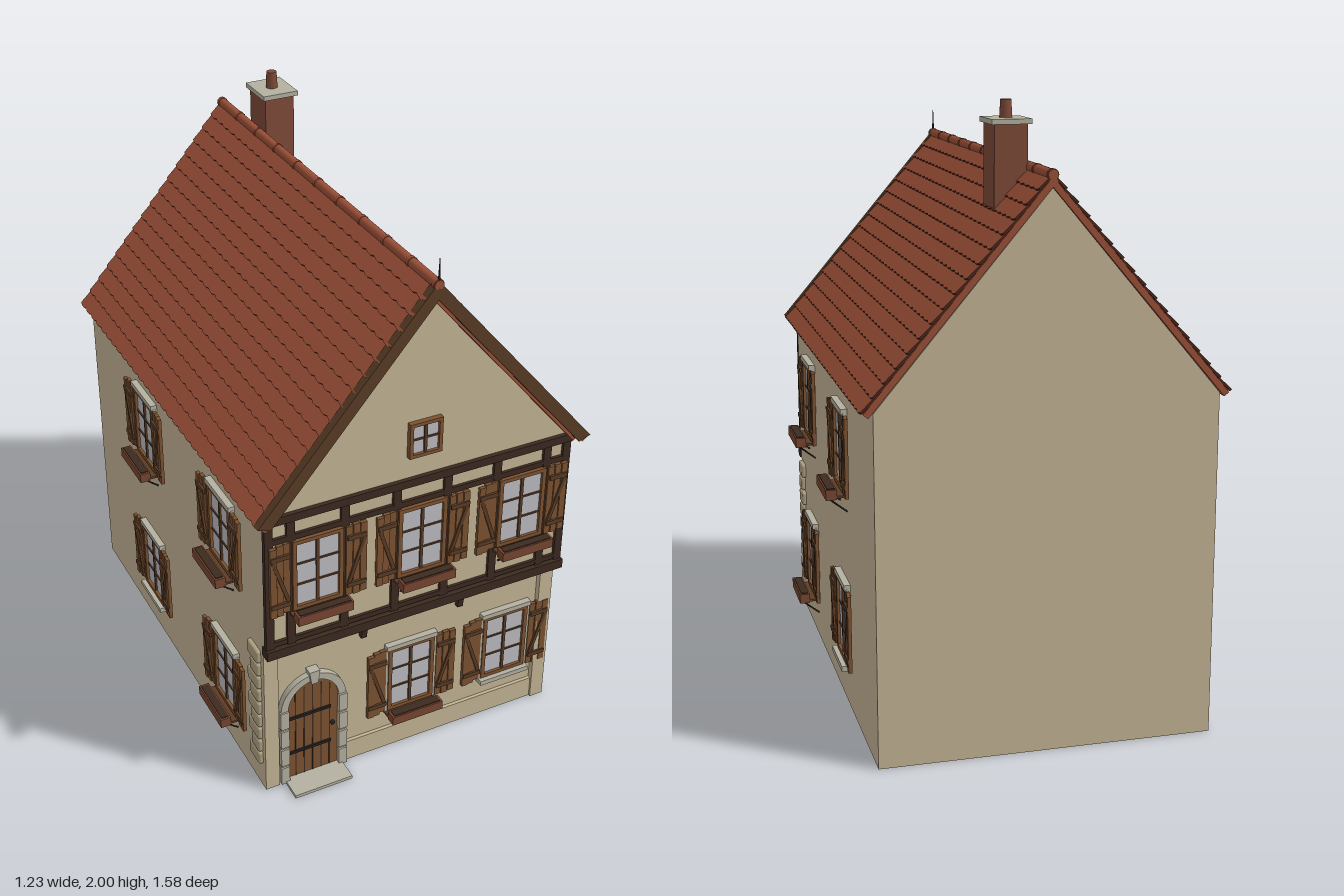
import * as THREE from 'three';
import { RoundedBoxGeometry } from 'three/addons/geometries/RoundedBoxGeometry.js';

const mats = {};
const mat = (c) => (mats[c] ??= new THREE.MeshStandardMaterial({ color: c }));
const C = {
  wall: 0xc4b495, timber: 0x3c2a20, wood: 0x7c5230, darkWood: 0x5a3c26, stone: 0xb4b0a0, quoin: 0xaea081,
  glass: 0xbcbcc2, tile: 0x9a4f37, tileEdge: 0x4a241a, planter: 0x774530, brick: 0x7d4a38, iron: 0x26221f, floor: 0x6b665c,
};

function add(parent, name, geo, color, x = 0, y = 0, z = 0) {
  const m = new THREE.Mesh(geo, Array.isArray(color) ? color.map(mat) : mat(color));
  m.name = name;
  m.position.set(x, y, z);
  parent.add(m);
  return m;
}
const box = (p, name, w, h, d, x, y, z, color) => add(p, name, new THREE.BoxGeometry(w, h, d), color, x, y, z);
const extrude = (shape, depth) => new THREE.ExtrudeGeometry(shape, { depth, bevelEnabled: false, curveSegments: 16 });
const polygon = (pts) => new THREE.Shape(pts.map(([x, y]) => new THREE.Vector2(x, y)));

// Box beam between two points of the xy plane
function beam(p, name, x1, y1, x2, y2, w, d, z, color) {
  const m = box(p, name, Math.hypot(x2 - x1, y2 - y1), w, d, (x1 + x2) / 2, (y1 + y2) / 2, z, color);
  m.rotation.z = Math.atan2(y2 - y1, x2 - x1);
  return m;
}

function group(parent, name, x = 0, y = 0, z = 0) {
  const g = new THREE.Group();
  g.name = name;
  g.position.set(x, y, z);
  parent.add(g);
  return g;
}

// Glazed casement facing +z, origin at its centre on the wall
function casement(g, w, h, rows, f) {
  box(g, 'glass', w, h, 0.008, 0, 0, 0.004, C.glass);
  for (const s of [-1, 1]) {
    box(g, 'frameSide', f, h + 2 * f, 0.018, s * (w + f) / 2, 0, 0.009, C.wood);
    box(g, 'frameRail', w, f, 0.018, 0, s * (h + f) / 2, 0.009, C.wood);
  }
  box(g, 'mullion', 0.01, h, 0.014, 0, 0, 0.007, C.darkWood);
  for (let i = 1; i < rows; i++) box(g, 'glazingBar', w, 0.006, 0.012, 0, -h / 2 + (h * i) / rows, 0.006, C.darkWood);
}

function shutterWindow(parent, x, y, z, ry, { planter, lintel }) {
  const g = group(parent, 'window', x, y, z);
  g.rotation.y = ry;
  casement(g, 0.145, 0.235, 3, 0.014);
  if (lintel) {
    box(g, 'lintel', 0.19, 0.018, 0.022, 0, 0.14, 0.011, C.stone);
    for (const s of [-1, 1]) box(g, 'stoneJamb', 0.01, 0.27, 0.014, s * 0.091, 0, 0.007, C.stone);
  }
  // Plank shutters with ledges and a diagonal brace
  for (const s of [-1, 1]) {
    const sh = group(g, 'shutter', s * 0.13, 0, 0);
    [-1, 0, 1].forEach((k) =>
      box(sh, 'plank', 0.022, 0.262 + 0.006 * ((k + 3) % 2), 0.012, k * 0.0235, 0.003 * k, 0.014 + 0.003 * k * s, C.wood));
    for (const t of [-1, 1]) box(sh, 'ledge', 0.066, 0.016, 0.008, 0, t * 0.09, 0.023, C.darkWood);
    beam(sh, 'brace', -s * 0.026, -0.08, s * 0.026, 0.08, 0.012, 0.007, 0.022, C.darkWood);
  }
  if (planter) {
    box(g, 'planterBox', 0.19, 0.034, 0.036, 0, -0.132, 0.056, C.planter);
    box(g, 'planterSoil', 0.175, 0.004, 0.026, 0, -0.114, 0.056, C.timber);
    box(g, 'planterShelf', 0.19, 0.008, 0.05, 0, -0.14, 0.025, C.darkWood);
    for (const s of [-1, 1]) {
      const b = add(g, 'planterBracket', new THREE.CylinderGeometry(0.003, 0.003, 0.085, 6), C.iron, s * 0.065, -0.173, 0.034);
      b.rotation.x = 0.9;
    }
  } else {
    box(g, 'sill', 0.19, 0.018, 0.034, 0, -0.14, 0.017, C.stone);
  }
}

function archShape(w, spring, r) {
  const s = new THREE.Shape();
  s.moveTo(-w, 0);
  s.lineTo(w, 0);
  s.lineTo(w, spring);
  s.absellipse(0, spring, w, r, 0, Math.PI, false);
  s.lineTo(-w, 0);
  return s;
}

function buildDoor(house) {
  const g = group(house, 'door', -0.365, 0, 0.68);
  add(g, 'doorLeaf', extrude(archShape(0.092, 0.31, 0.1), 0.012), C.wood);
  for (let i = -2; i <= 2; i++) box(g, 'plankGap', 0.004, 0.395 - Math.abs(i) * 0.014, 0.003, i * 0.031, 0.2 - Math.abs(i) * 0.007, 0.012, C.timber);
  for (const y of [0.12, 0.27]) box(g, 'hinge', 0.15, 0.01, 0.006, -0.01, y, 0.015, C.iron);
  add(g, 'doorKnob', new THREE.SphereGeometry(0.008, 10, 8), C.iron, 0.07, 0.2, 0.02);
  const surround = archShape(0.118, 0.31, 0.125);
  surround.holes.push(archShape(0.092, 0.31, 0.1));
  add(g, 'stoneSurround', extrude(surround, 0.022), C.stone);
  add(g, 'keystone', extrude(polygon([[-0.012, 0.405], [0.012, 0.405], [0.019, 0.455], [-0.019, 0.455]]), 0.032), C.stone);
  for (const s of [-1, 1]) {
    for (let i = 0; i < 4; i++) box(g, 'jambBlock', 0.03, 0.07, 0.028, s * 0.106, 0.04 + i * 0.08, 0.014, C.stone);
  }
  box(g, 'doorstep', 0.21, 0.012, 0.1, 0, 0.006, 0.05, C.stone);
}

function buildWalls(house) {
  // Hollow ground floor, solid upper floor with gables
  const ring = polygon([[-0.54, -0.68], [0.54, -0.68], [0.54, 0.78], [-0.54, 0.78]]);
  ring.holes.push(new THREE.Path([[-0.49, -0.63], [-0.49, 0.73], [0.49, 0.73], [0.49, -0.63]].map(([x, y]) => new THREE.Vector2(x, y))));
  add(house, 'groundFloorWalls', extrude(ring, 0.6), C.wall).rotation.x = -Math.PI / 2;
  const gable = polygon([[-0.54, 0.59], [0.54, 0.59], [0.54, 1.12], [0, 1.762], [-0.54, 1.12]]);
  add(house, 'upperWalls', extrude(gable, 1.5), C.wall, 0, 0, -0.78);
  box(house, 'ceiling', 0.98, 0.01, 1.36, 0, 0.583, -0.05, C.floor);
  box(house, 'floorSlab', 1.0, 0.03, 0.36, 0, 0.016, 0.46, C.floor);
  box(house, 'partitionSide', 0.04, 0.575, 0.4, -0.32, 0.29, 0.45, C.wall);
  box(house, 'partitionBack', 0.2, 0.575, 0.04, -0.4, 0.29, 0.26, C.wall);
  box(house, 'plinth', 0.74, 0.08, 0.016, 0.12, 0.04, 0.684, C.wall);
  for (const s of [-1, 1]) {
    box(house, 'cornerPier', 0.05, 0.59, 0.02, s * 0.515, 0.295, 0.69, C.wall);
    for (let i = 0; i < 9; i++) {
      const d = i % 2 ? 0.06 : 0.08;
      add(house, 'quoin', new RoundedBoxGeometry(0.03, 0.05, d, 2, 0.008), C.quoin, s * 0.54, 0.125 + i * 0.054, 0.68 - d / 2);
    }
  }
}

function buildTimberFrame(house) {
  const g = group(house, 'timberFrame', 0, 0, 0.722);
  for (const x of [0.09, 0.27, 0.455, 0.528]) {
    for (const s of [-1, 1]) box(g, 'post', 0.028, 0.48, 0.018, s * x, 0.86, 0, C.timber);
  }
  box(g, 'topBeam', 1.09, 0.028, 0.026, 0, 1.106, 0, C.timber);
  box(g, 'headRail', 1.08, 0.02, 0.016, 0, 1.03, 0, C.timber);
  box(g, 'sillRail', 1.08, 0.018, 0.016, 0, 0.635, 0, C.timber);
  box(g, 'jettyBeam', 1.09, 0.034, 0.04, 0, 0.604, 0, C.timber);
  for (const x of [-0.365, 0, 0.365]) box(g, 'breastRail', 0.18, 0.02, 0.016, x, 0.735, 0, C.timber);
  // Curved brackets carrying the overhang
  const b = new THREE.Shape();
  b.moveTo(0, 0.59);
  b.lineTo(0.05, 0.59);
  b.quadraticCurveTo(0.02, 0.57, 0.016, 0.515);
  b.lineTo(0, 0.515);
  for (const x of [-0.18, 0.18]) add(house, 'jettyBracket', extrude(b, 0.02), C.timber, x + 0.01, 0, 0.68).rotation.y = -Math.PI / 2;
}

function buildRoof(house) {
  const roof = group(house, 'roof', 0, 0, -0.005);
  const run = 0.57, base = 1.12, rise = 0.675, half = 0.777, courses = 16, tiles = 30;
  const len = Math.hypot(run, rise), c = run / len, s = rise / len, pitch = len / courses;

  // One course of tiles with a scalloped lower edge
  const course = new THREE.Shape();
  course.moveTo(-half, pitch + 0.004);
  course.lineTo(-half, 0);
  const w = (2 * half) / tiles;
  for (let i = 0; i < tiles; i++) course.quadraticCurveTo(-half + (i + 0.5) * w, -0.012, -half + (i + 1) * w, 0);
  course.lineTo(half, pitch + 0.004);
  const courseGeo = new THREE.ExtrudeGeometry(course, { depth: 0.008, bevelEnabled: false, curveSegments: 3 });

  for (const side of [0, 1]) {
    const half3 = group(roof, 'roofSide');
    half3.rotation.y = side * Math.PI;
    const plane = group(half3, 'roofPlane');
    plane.quaternion.setFromRotationMatrix(new THREE.Matrix4().makeBasis(
      new THREE.Vector3(0, 0, -1), new THREE.Vector3(-c, s, 0), new THREE.Vector3(s, c, 0)));
    plane.position.set(run, base, 0);
    box(plane, 'roofDeck', half * 2, len, 0.02, 0, len / 2, -0.01, C.tile);
    for (let i = 0; i < courses; i++) {
      add(plane, 'tileCourse', courseGeo, [C.tile, C.tileEdge], 0, i * pitch, 0.004).rotation.x = -0.11;
    }
  }
  // Front bargeboards
  for (const s2 of [-1, 1]) {
    const shape = polygon([[0, 1.812], [0, 1.752], [s2 * 0.54, 1.113], [s2 * 0.582, 1.128], [s2 * 0.574, 1.136]]);
    add(roof, 'bargeboard', extrude(shape, 0.03), C.darkWood, 0, 0, 0.75);
    beam(roof, 'bargeTrim', 0, 1.748, s2 * 0.54, 1.108, 0.012, 0.03, 0.74, C.tile);
  }
  const ridge = add(roof, 'ridgeTiles', new THREE.CylinderGeometry(0.016, 0.016, 1.56, 12), C.tile, 0, 1.8, 0);
  ridge.rotation.x = Math.PI / 2;
  for (let i = 0; i <= 10; i++) {
    const collar = add(roof, 'ridgeCollar', new THREE.CylinderGeometry(0.018, 0.018, 0.012, 12), C.tile, 0, 1.8, -0.77 + i * 0.154);
    collar.rotation.x = Math.PI / 2;
  }
  add(roof, 'finial', new THREE.CylinderGeometry(0.001, 0.004, 0.08, 8), C.iron, 0, 1.845, 0.775);
}

function buildChimney(house) {
  const g = group(house, 'chimney', 0.063, 0, -0.49);
  box(g, 'stack', 0.105, 0.3, 0.125, 0, 1.785, 0, C.brick);
  box(g, 'cap', 0.126, 0.016, 0.147, 0, 1.937, 0, C.stone);
  add(g, 'pot', new THREE.CylinderGeometry(0.017, 0.02, 0.055, 16), C.brick, 0, 1.9725, 0);
}

export function createModel() {
  const house = new THREE.Group();
  house.name = 'house';
  buildWalls(house);
  buildTimberFrame(house);
  buildDoor(house);
  buildRoof(house);
  buildChimney(house);

  // Front windows
  for (const x of [-0.365, 0, 0.365]) shutterWindow(house, x, 0.885, 0.72, 0, { planter: true });
  shutterWindow(house, 0, 0.295, 0.68, 0, { planter: true, lintel: true });
  shutterWindow(house, 0.365, 0.295, 0.68, 0, { lintel: true });
  // Side windows
  for (const s of [-1, 1]) {
    for (const z of [0.41, -0.245]) {
      shutterWindow(house, s * 0.54, 0.88, z, s * Math.PI / 2, { planter: true, lintel: true });
      shutterWindow(house, s * 0.54, 0.29, z, s * Math.PI / 2, { planter: z > 0, lintel: true });
    }
  }
  // Attic window
  casement(group(house, 'atticWindow', 0, 1.26, 0.72), 0.09, 0.1, 2, 0.012);
  return house;
}
